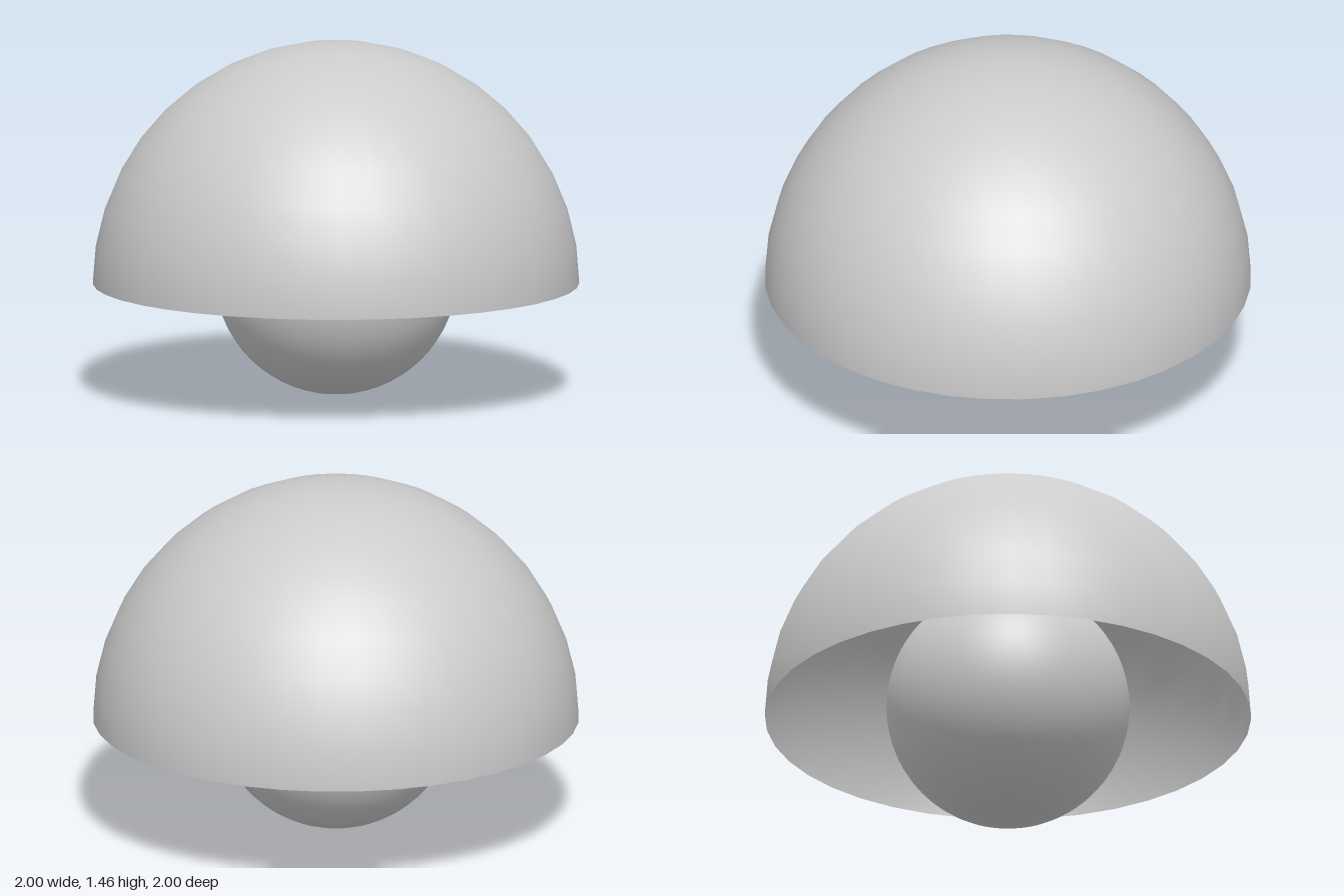
import * as THREE from 'three';

export function createModel() {
  const group = new THREE.Group();
  const rimY = 0.457;

  // Open hemispherical shade, seen from inside and outside
  const shade = new THREE.Mesh(
    new THREE.SphereGeometry(1, 40, 10, 0, Math.PI * 2, 0, Math.PI / 2),
    new THREE.MeshStandardMaterial({ color: 0xcccccc, side: THREE.DoubleSide })
  );
  shade.name = 'shade';
  shade.position.y = rimY;

  // Globe hanging partly inside the shade
  const globe = new THREE.Mesh(
    new THREE.SphereGeometry(0.5, 64, 32),
    new THREE.MeshStandardMaterial({ color: 0xcccccc })
  );
  globe.name = 'globe';
  globe.position.y = 0.5;

  group.add(shade, globe);
  return group;
}
